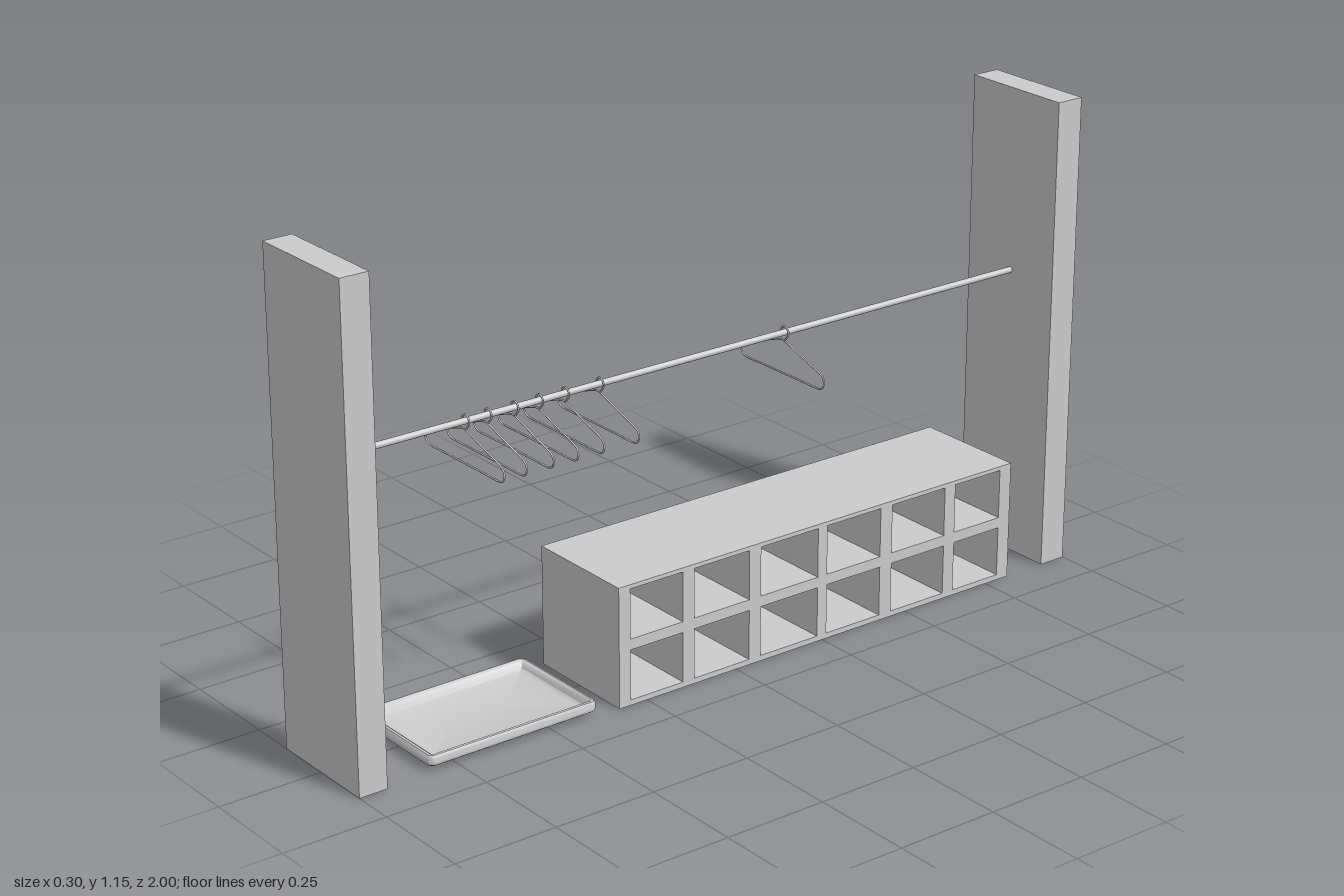
import * as THREE from 'three';
import { toCreasedNormals } from 'three/addons/utils/BufferGeometryUtils.js';

const CX = 0.005; // shared centre line of panels, shelf and rail
const material = new THREE.MeshStandardMaterial({ color: 0xcccccc });

function addMesh(parent, name, geometry, x = 0, y = 0, z = 0) {
  const mesh = new THREE.Mesh(geometry, material);
  mesh.name = name;
  mesh.position.set(x, y, z);
  parent.add(mesh);
  return mesh;
}

// Box-shaped shelf with a grid of open compartments on its +x face
function buildShelf() {
  const shelf = new THREE.Group();
  shelf.name = 'cubbyShelf';
  const front = 0.148, back = -0.138, backThickness = 0.015;
  const z0 = -0.82, z1 = 0.325, height = 0.29;
  const outline = new THREE.Shape();
  // Shape x runs along -z, so the extrusion axis becomes +x after turning
  const rect = (path, a, b, bottom, top) => path.moveTo(a, bottom).lineTo(b, bottom).lineTo(b, top).lineTo(a, top).closePath();
  rect(outline, -z1, -z0, 0, height);
  const columns = [[0.294, 0.15], [0.118, -0.037], [-0.07, -0.235], [-0.262, -0.42], [-0.455, -0.615], [-0.647, -0.786]];
  const rows = [[0.013, 0.134], [0.16, 0.28]];
  for (const [a, b] of columns) {
    for (const [bottom, top] of rows) {
      const hole = new THREE.Path();
      rect(hole, -a, -b, bottom, top);
      outline.holes.push(hole);
    }
  }
  const grid = new THREE.ExtrudeGeometry(outline, { depth: front - back - backThickness, bevelEnabled: false });
  grid.rotateY(Math.PI / 2);
  addMesh(shelf, 'compartmentGrid', grid, back + backThickness);
  addMesh(shelf, 'shelfBack', new THREE.BoxGeometry(backThickness, height, z1 - z0),
    back + backThickness / 2, height / 2, (z0 + z1) / 2);
  return shelf;
}

// Shallow tray lofted through rounded rectangles: underside, rim, slope, floor
function buildTray() {
  const halfX = 0.142, halfZ = 0.221, steps = 5;
  const profile = [ // [inset from the outer edge, height]
    [halfX, 0.01], [0.008, 0.01], [0.002, 0.014], [0, 0.021], [0.001, 0.03],
    [0.005, 0.036], [0.01, 0.037], [0.015, 0.034], [0.021, 0.021], [0.03, 0.017], [halfX, 0.017],
  ];
  const positions = [], indices = [];
  const ringSize = 4 * (steps + 1);
  for (const [inset, y] of profile) {
    const radius = Math.max(0.003, 0.018 - inset);
    const w = Math.max(0, halfX - inset - radius), d = Math.max(0, halfZ - inset - radius);
    const r = inset >= halfX ? 0 : radius;
    for (let corner = 0; corner < 4; corner++) {
      const sx = corner === 0 || corner === 3 ? 1 : -1, sz = corner < 2 ? 1 : -1;
      for (let k = 0; k <= steps; k++) {
        const t = (corner + k / steps) * Math.PI / 2;
        positions.push(sx * w + r * Math.cos(t), y, sz * d + r * Math.sin(t));
      }
    }
  }
  for (let p = 0; p < profile.length - 1; p++) {
    for (let i = 0; i < ringSize; i++) {
      const j = (i + 1) % ringSize;
      const a = p * ringSize + i, b = p * ringSize + j;
      indices.push(a, a + ringSize, b, b, a + ringSize, b + ringSize);
    }
  }
  const geometry = new THREE.BufferGeometry();
  geometry.setAttribute('position', new THREE.Float32BufferAttribute(positions, 3));
  geometry.setIndex(indices);
  return toCreasedNormals(geometry, 0.7);
}

// Bent wire hanger: closed shoulder loop plus an open hook over the rail
function buildHanger(loopGeometry, hookGeometry) {
  const hanger = new THREE.Group();
  hanger.name = 'hanger';
  addMesh(hanger, 'hangerLoop', loopGeometry);
  addMesh(hanger, 'hangerHook', hookGeometry);
  return hanger;
}

function hangerGeometries(railY) {
  const wire = 0.0022, endX = 0.129, endY = 0.6255, r = 0.0185;
  // Right half from the bottom bar round the end to the neck, then mirrored
  const half = [new THREE.Vector3(0.06, endY - r, 0)];
  for (let k = 0; k <= 6; k++) {
    const t = -Math.PI / 2 + k / 6 * (Math.PI * 0.9);
    half.push(new THREE.Vector3(endX + r * Math.cos(t), endY + r * Math.sin(t), 0));
  }
  half.push(new THREE.Vector3(0.07, 0.664, 0), new THREE.Vector3(0.015, 0.683, 0));
  const mirrored = half.map((p) => new THREE.Vector3(-p.x, p.y, 0)).reverse();
  const loop = new THREE.CatmullRomCurve3([...half, new THREE.Vector3(0, 0.686, 0), ...mirrored], true);
  const hookPoints = [new THREE.Vector3(0.008, 0.685, 0)];
  for (let k = 0; k <= 8; k++) {
    const t = -0.9 + k / 8 * 4.3;
    hookPoints.push(new THREE.Vector3(0.009 + 0.013 * Math.cos(t), railY + 0.013 * Math.sin(t), 0));
  }
  const hook = new THREE.CatmullRomCurve3(hookPoints);
  return [new THREE.TubeGeometry(loop, 110, wire, 6, true), new THREE.TubeGeometry(hook, 28, wire, 6)];
}

export function createModel() {
  const model = new THREE.Group();
  model.name = 'openWardrobe';

  // Tall end panels
  for (const side of [1, -1]) {
    addMesh(model, side > 0 ? 'frontPanel' : 'backPanel', new THREE.BoxGeometry(0.286, 1.147, 0.07), CX, 0.5735, side * 0.965);
  }

  // Hanging rail between the panels
  const railY = 0.706;
  const rail = new THREE.CylinderGeometry(0.0075, 0.0075, 1.864, 20);
  rail.rotateX(Math.PI / 2);
  addMesh(model, 'hangingRail', rail, CX, railY, 0);

  model.add(buildShelf());
  addMesh(model, 'shoeTray', buildTray(), 0.004, 0, 0.6);

  // Hangers, bunched toward the front with one further back
  const [loop, hook] = hangerGeometries(railY);
  for (const z of [0.614, 0.557, 0.488, 0.424, 0.356, 0.264, -0.249]) {
    const hanger = buildHanger(loop, hook);
    hanger.position.set(-0.004, 0, z);
    model.add(hanger);
  }
  return model;
}
